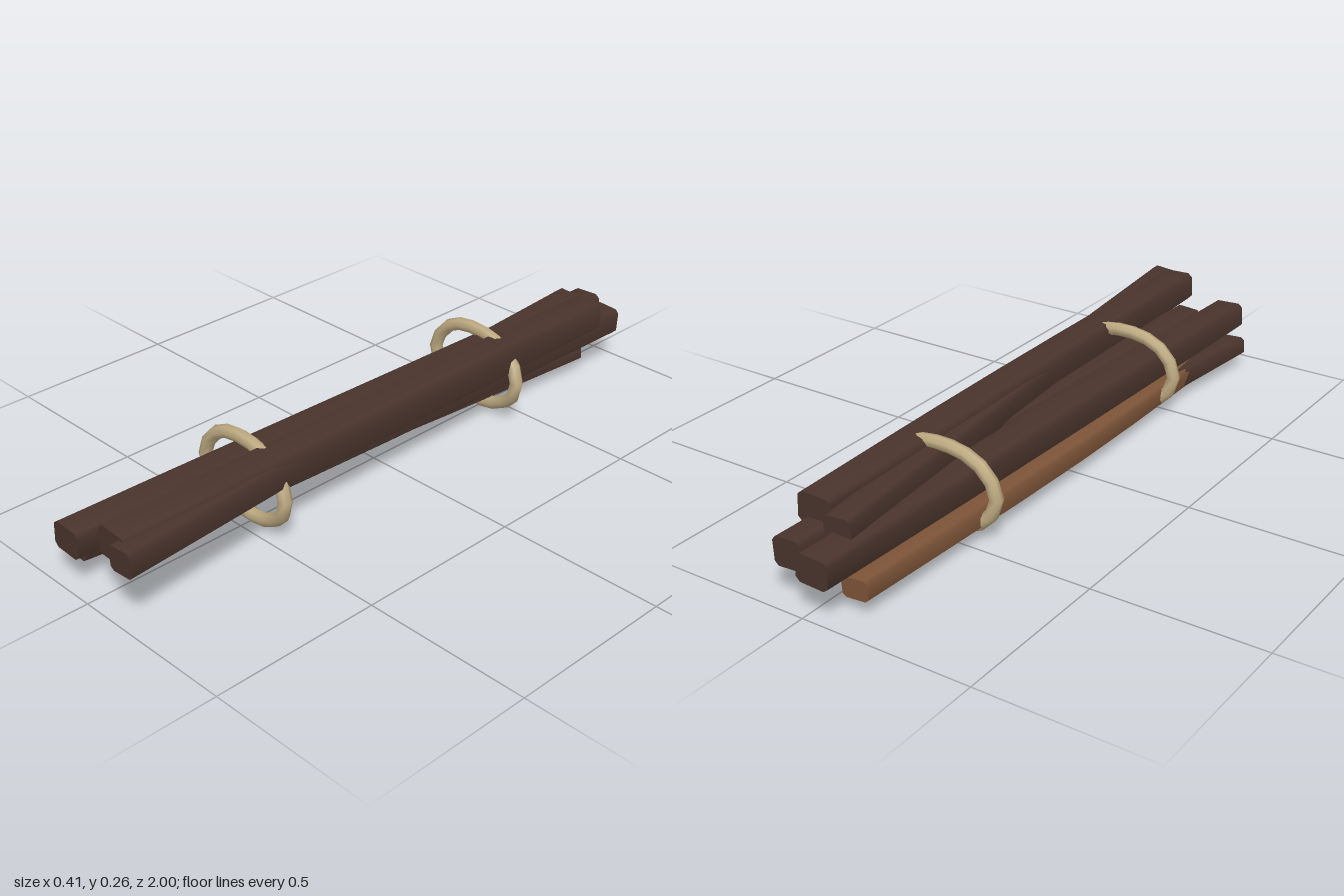
import * as THREE from 'three';

const bark = new THREE.MeshStandardMaterial({ color: 0x49342c });
bark.name = 'darkBark';
const tan = new THREE.MeshStandardMaterial({ color: 0x7d5438 });
tan.name = 'brownBark';
const twine = new THREE.MeshStandardMaterial({ color: 0xbfab82 });
twine.name = 'ropeTan';

// Chamfered square outline, counter-clockwise seen from +z
const OUTLINE = [[1, -0.72], [1, 0.72], [0.74, 1], [-0.74, 1], [-1, 0.72], [-1, -0.72], [-0.74, -1], [0.74, -1]];

// A slightly bent, swelling stick swept from its back end to its front end
function stick(name, material, points, w, h, roll = 0) {
  const curve = new THREE.CatmullRomCurve3(points.map((p) => new THREE.Vector3(...p)));
  const stations = 6, n = OUTLINE.length, pos = [], index = [];
  const ring = (t) => {
    const c = curve.getPoint(t);
    const s = 0.95 + 0.1 * Math.sin(Math.PI * t);
    const a = roll * (1 - 2 * t);
    for (const [u, v] of OUTLINE) {
      const x = u * w / 2 * s, y = v * h / 2 * s;
      pos.push(c.x + x * Math.cos(a) - y * Math.sin(a), c.y + x * Math.sin(a) + y * Math.cos(a), c.z);
    }
  };
  for (let i = 0; i <= stations; i++) ring(i / stations);
  for (let i = 0; i < stations; i++) {
    for (let j = 0; j < n; j++) {
      const a = i * n + j, b = i * n + (j + 1) % n;
      index.push(a, b, b + n, a, b + n, a + n);
    }
  }
  // Flat end caps with their own vertices
  for (const t of [0, 1]) {
    const base = pos.length / 3;
    ring(t);
    for (let j = 1; j < n - 1; j++) {
      if (t) index.push(base, base + j, base + j + 1);
      else index.push(base, base + j + 1, base + j);
    }
  }
  const geo = new THREE.BufferGeometry();
  geo.setAttribute('position', new THREE.Float32BufferAttribute(pos, 3));
  geo.setIndex(index);
  geo.computeVertexNormals();
  const mesh = new THREE.Mesh(geo, material);
  mesh.name = name;
  return mesh;
}

// Loose rope loop, a lopsided oval in the xy plane
const LOOP = [
  [-0.185, 0.13], [-0.165, 0.185], [-0.12, 0.225], [-0.05, 0.243], [0.03, 0.24], [0.09, 0.222], [0.135, 0.185],
  [0.153, 0.11], [0.11, 0.055], [0.04, 0.022], [-0.05, 0.02], [-0.13, 0.045], [-0.172, 0.085],
];
function rope(name, z, tilt) {
  const pts = LOOP.map(([x, y]) => new THREE.Vector3(x, y, z + tilt * x + 0.012 * Math.sin(y * 12)));
  const curve = new THREE.CatmullRomCurve3(pts, true);
  const mesh = new THREE.Mesh(new THREE.TubeGeometry(curve, 18, 0.02, 7, true), twine);
  mesh.name = name;
  return mesh;
}

export function createModel() {
  const group = new THREE.Group();
  group.name = 'stickBundle';
  group.add(
    // Top layer: two sticks crossing
    stick('topStick', bark, [[0.078, 0.2, -0.85], [0.085, 0.203, 0], [0.095, 0.204, 0.975]], 0.11, 0.092, 0.04),
    stick('topCrossStick', bark, [[-0.02, 0.19, -0.88], [0.062, 0.198, 0], [0.16, 0.203, 1]], 0.09, 0.075, -0.08),
    // Middle layer
    stick('middleLeftStick', bark, [[-0.04, 0.14, -1], [-0.06, 0.137, 0], [-0.09, 0.138, 0.985]], 0.104, 0.084, 0.05),
    stick('middleRightStick', bark, [[0.068, 0.138, -0.965], [0.035, 0.133, 0], [0.003, 0.133, 0.88]], 0.092, 0.086, -0.06),
    // Bottom layer: one dark stick crossing below a brown one
    stick('bottomCrossStick', bark, [[0.042, 0.067, -0.83], [-0.045, 0.06, 0], [-0.143, 0.064, 0.925]], 0.084, 0.06, 0.06),
    stick('bottomBrownStick', tan, [[-0.092, 0.066, -0.91], [-0.115, 0.066, 0], [-0.105, 0.063, 0.86]], 0.085, 0.06, -0.08),
    // Two rope loops
    rope('frontRope', 0.455, 0.04),
    rope('backRope', -0.455, 0.05),
  );
  return group;
}
